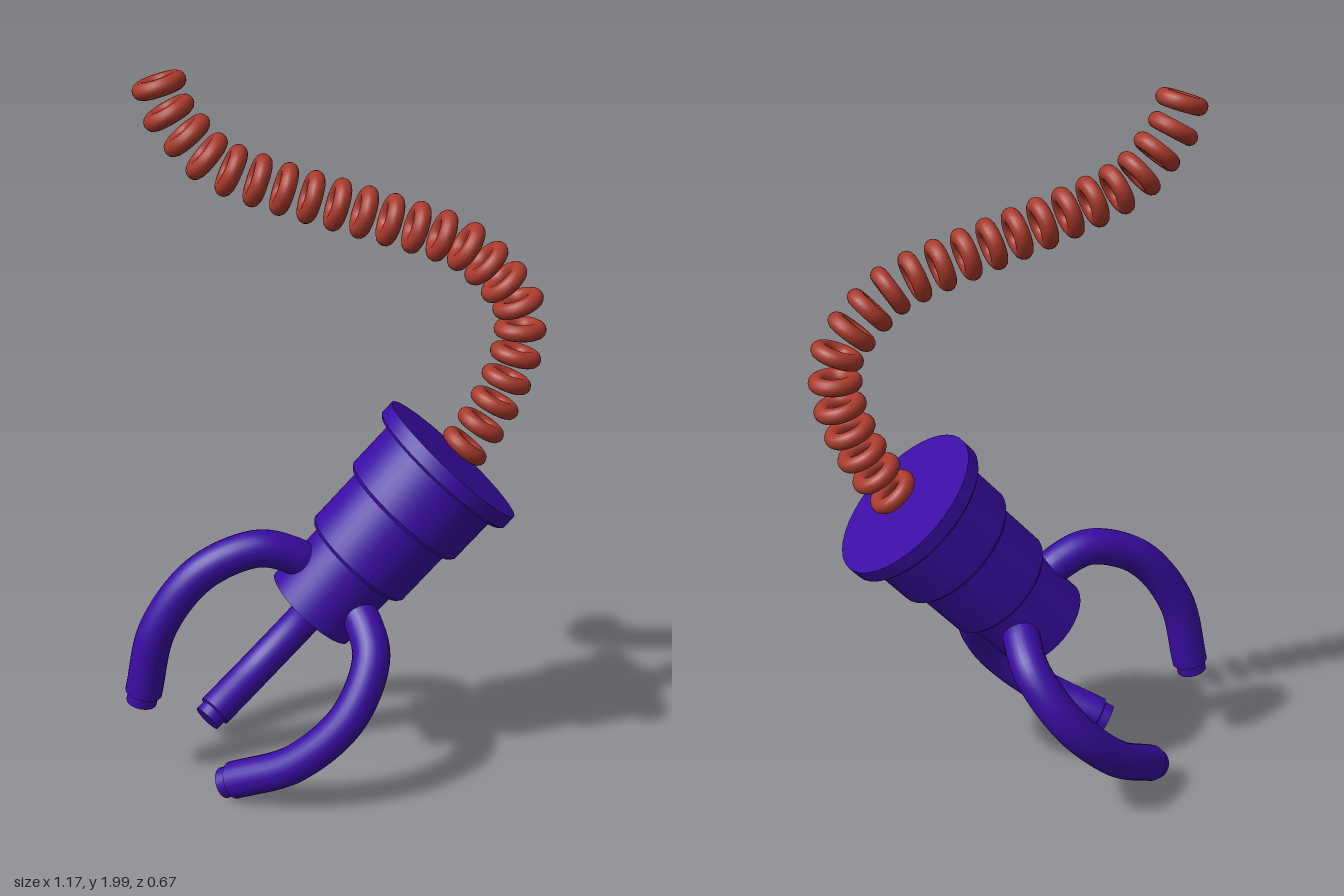
import * as THREE from 'three';
import { toCreasedNormals } from 'three/addons/utils/BufferGeometryUtils.js';

const purple = new THREE.MeshStandardMaterial({ color: 0x3a0ca3 });
const red = new THREE.MeshStandardMaterial({ color: 0xa93a2c });
const Z = 0.022; // the mid-plane of the body and spring
const UP = new THREE.Vector3(0, 1, 0);

function part(name, geometry, material) {
  const mesh = new THREE.Mesh(geometry, material);
  mesh.name = name;
  return mesh;
}

function lathe(profile, segments) {
  const points = profile.map(([r, y]) => new THREE.Vector2(r, y));
  return toCreasedNormals(new THREE.LatheGeometry(points, segments), 0.5);
}

// Curved finger in the plane of -x and y, with a narrower tip
function createFinger() {
  const finger = new THREE.Group();
  finger.name = 'finger';
  const path = new THREE.CatmullRomCurve3([
    [0.08, 0.1], [0.16, 0.09], [0.25, 0.046], [0.325, -0.105], [0.306, -0.304], [0.203, -0.485],
  ].map(([r, y]) => new THREE.Vector3(-r, y, 0)));
  finger.add(part('fingerTube', new THREE.TubeGeometry(path, 40, 0.052, 24), purple));

  const tip = part('fingerTip', lathe([[0.052, 0], [0.043, 0.004], [0.043, 0.032], [0, 0.032]], 24), purple);
  tip.position.copy(path.getPoint(1));
  tip.quaternion.setFromUnitVectors(UP, path.getTangent(1));
  finger.add(tip);
  return finger;
}

// Stepped body with a flange on top and three fingers around the nose
function createClaw() {
  const claw = new THREE.Group();
  claw.name = 'claw';
  claw.add(part('body', lathe([
    [0, 0], [0.14, 0], [0.14, 0.19], [0.16, 0.19], [0.168, 0.2],
    [0.168, 0.375], [0.184, 0.375], [0.193, 0.386], [0.193, 0.535],
    [0.222, 0.535], [0.23, 0.543], [0.23, 0.583], [0, 0.583],
  ], 40), purple));
  for (let i = 0; i < 3; i++) {
    const finger = createFinger();
    finger.rotation.y = THREE.MathUtils.degToRad(7 + 120 * i);
    claw.add(finger);
  }
  claw.position.set(-0.053, 0.511, Z);
  claw.rotation.z = THREE.MathUtils.degToRad(-42.6);
  return claw;
}

// Separate rings strung along an S-shaped path
function createSpring() {
  const spring = new THREE.Group();
  spring.name = 'spring';
  const path = new THREE.CatmullRomCurve3([
    [-0.43, 1.97], [-0.41, 1.905], [-0.365, 1.845], [-0.31, 1.785], [-0.25, 1.75], [-0.117, 1.7],
    [0.095, 1.633], [0.3, 1.565], [0.37, 1.53], [0.47, 1.432], [0.508, 1.373], [0.515, 1.304],
    [0.505, 1.232], [0.455, 1.104], [0.373, 0.976], [0.32, 0.928],
  ].map(([x, y]) => new THREE.Vector3(x, y, Z)));
  const geometry = new THREE.TorusGeometry(0.0485, 0.0225, 14, 32).rotateX(Math.PI / 2);
  const rings = 23;
  for (let i = 0; i < rings; i++) {
    const ring = part('springRing', geometry, red);
    ring.position.copy(path.getPointAt(i / rings));
    ring.quaternion.setFromUnitVectors(UP, path.getTangentAt(i / rings).negate());
    spring.add(ring);
  }
  return spring;
}

export function createModel() {
  const model = new THREE.Group();
  model.name = 'clawOnSpring';
  model.add(createClaw(), createSpring());
  return model;
}
